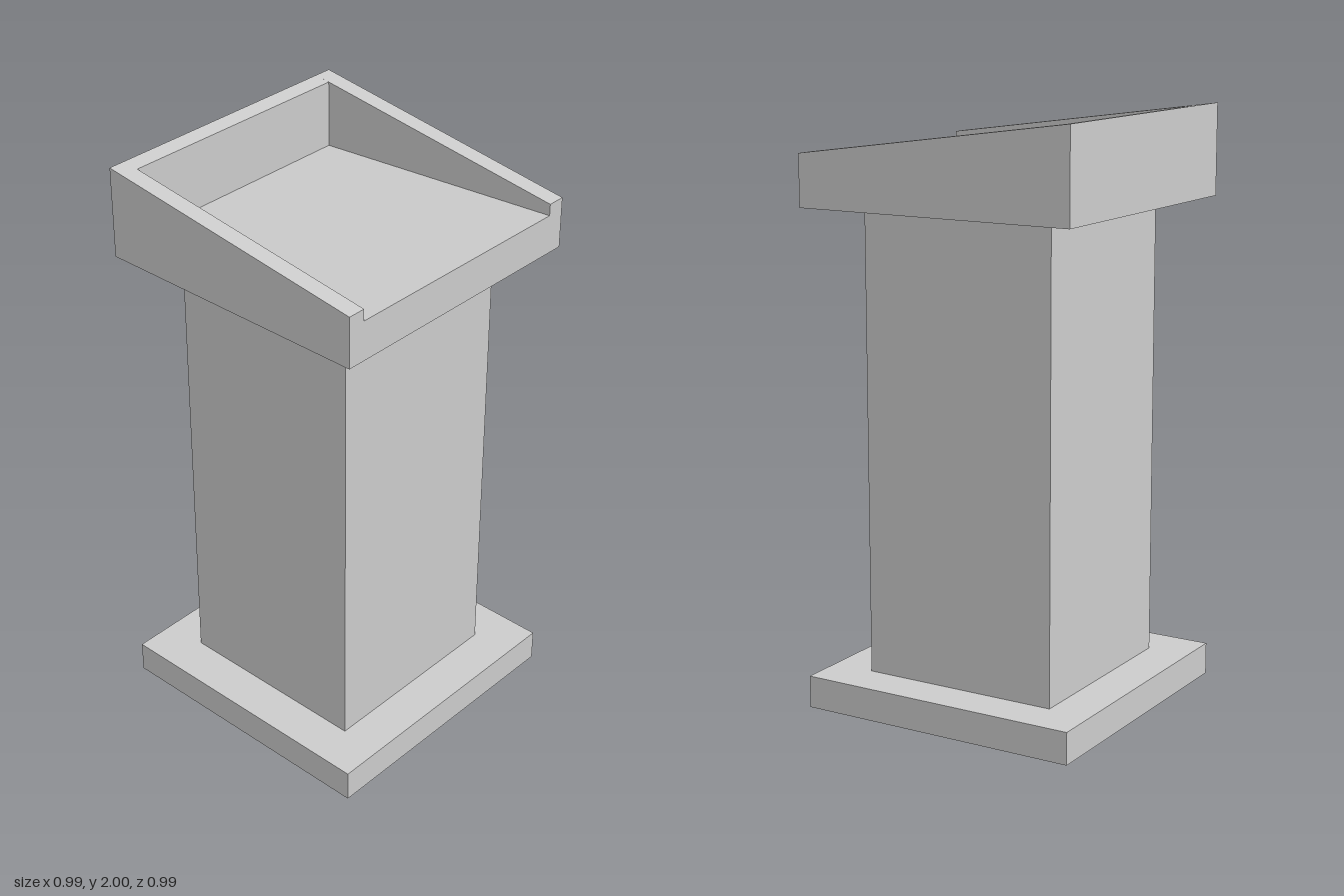
import * as THREE from 'three';

const OUTER = 0.497;    // half width of base and desk
const COLUMN = 0.348;   // half width of column
const CHEEK = 0.065;    // thickness of the desk's raised sides
const BASE_TOP = 0.11, DESK_BOTTOM = 1.69;

const solid = new THREE.MeshStandardMaterial({ color: 0xcccccc, flatShading: true });
const sheet = new THREE.MeshStandardMaterial({ color: 0xcccccc, flatShading: true, side: THREE.DoubleSide });

export function createModel() {
  const model = new THREE.Group();
  const add = (name, geometry, material) => {
    const mesh = new THREE.Mesh(geometry, material);
    mesh.name = name;
    model.add(mesh);
    return mesh;
  };

  // Four thin walls of a square tube, open at both ends
  const squareTube = (half, y0, y1) => {
    const r = half * Math.SQRT2;
    return new THREE.CylinderGeometry(r, r, y1 - y0, 4, 1, true)
      .rotateY(Math.PI / 4)
      .translate(0, (y0 + y1) / 2, 0);
  };

  // Side profile given as [z, y] points, extruded across x
  const acrossX = (points, width) => {
    const shape = new THREE.Shape(points.map(([z, y]) => new THREE.Vector2(z, y)));
    return new THREE.ExtrudeGeometry(shape, { depth: width, bevelEnabled: false })
      .translate(0, 0, -width / 2)
      .rotateY(-Math.PI / 2);
  };

  // Base: open underneath, its top has an opening into the hollow column
  add('baseSkirt', squareTube(OUTER, 0, BASE_TOP), sheet);
  const square = (h) => [[-h, -h], [h, -h], [h, h], [-h, h]].map(([x, y]) => new THREE.Vector2(x, y));
  const topShape = new THREE.Shape(square(OUTER));
  topShape.holes.push(new THREE.Path(square(COLUMN)));
  add('baseTop', new THREE.ShapeGeometry(topShape).rotateX(-Math.PI / 2).translate(0, BASE_TOP, 0), sheet);

  // Hollow column
  add('column', squareTube(COLUMN, BASE_TOP, DESK_BOTTOM), sheet);

  // Desk: sunken floor falling slightly to the back, with the back wall in one profile
  const inner = OUTER - CHEEK + 0.003;
  add('deskFloorAndBack', acrossX([
    [OUTER, DESK_BOTTOM], [OUTER, 1.825], [-0.44, 1.76],
    [-0.44, 1.992], [-OUTER, 2], [-OUTER, DESK_BOTTOM],
  ], inner * 2), solid);

  // Raised sloping sides
  const cheek = acrossX([
    [OUTER, DESK_BOTTOM], [OUTER, 1.865], [-OUTER, 2], [-OUTER, DESK_BOTTOM],
  ], OUTER - inner);
  for (const [name, side] of [['deskSideLeft', 1], ['deskSideRight', -1]]) {
    add(name, cheek, solid).position.x = side * (OUTER + inner) / 2;
  }

  return model;
}
